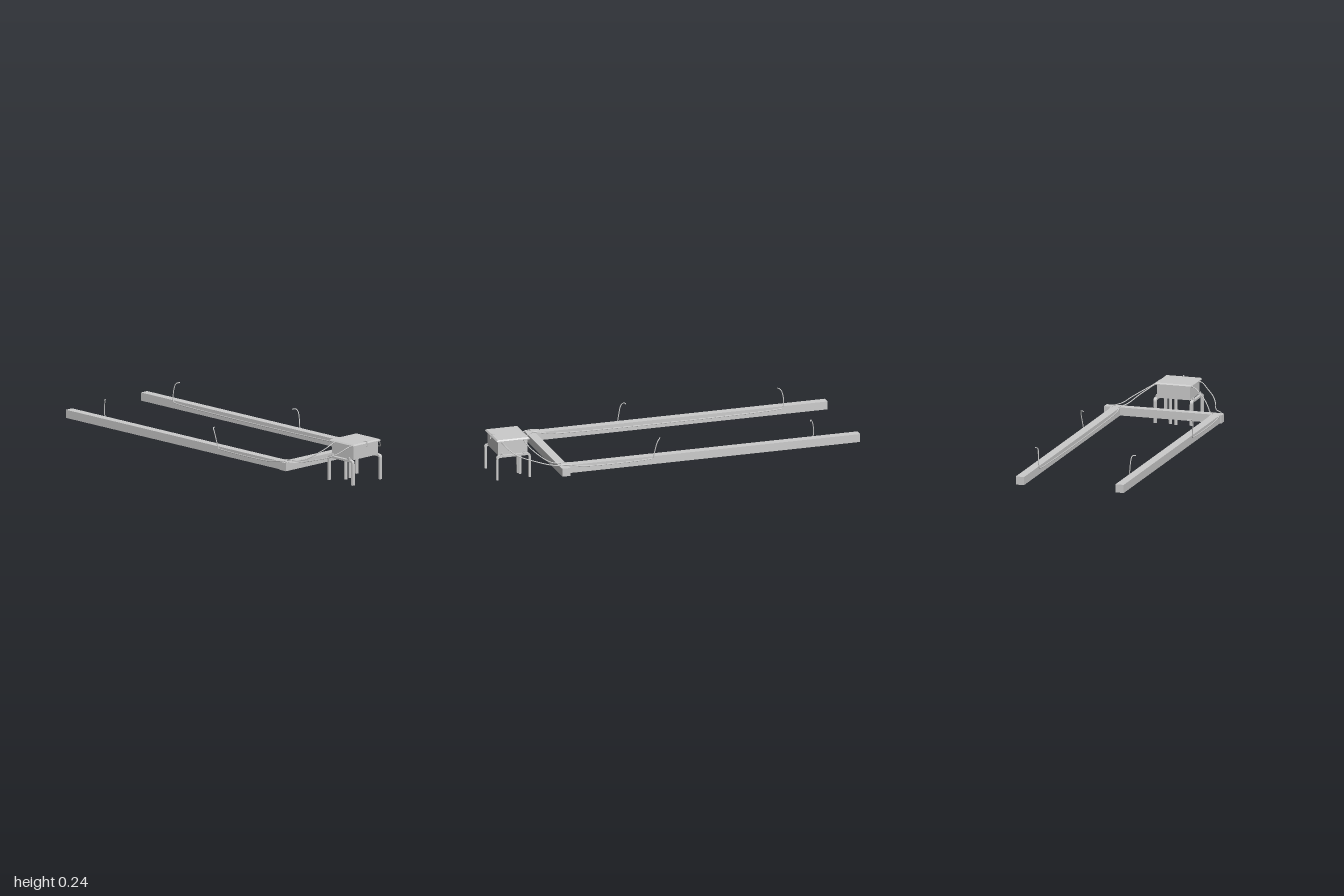
import * as THREE from 'three';

const mat = new THREE.MeshStandardMaterial({ color: 0xcccccc, side: THREE.DoubleSide });

export function createModel() {
  const model = new THREE.Group();

  const add = (name, geo, x = 0, y = 0, z = 0, parent = model) => {
    const mesh = new THREE.Mesh(geo, mat);
    mesh.name = name;
    mesh.position.set(x, y, z);
    parent.add(mesh);
    return mesh;
  };
  const box = (name, [x0, x1], [y0, y1], [z0, z1], parent) =>
    add(name, new THREE.BoxGeometry(x1 - x0, y1 - y0, z1 - z0),
      (x0 + x1) / 2, (y0 + y1) / 2, (z0 + z1) / 2, parent);

  // Ground beams: one across, two long
  const beamX = { left: 0.2645, right: -0.3005 };
  box('crossBeam', [-0.333, 0.333], [0.075, 0.12], [0.655, 0.702]);
  for (const side of ['left', 'right'])
    box(side + 'LongBeam', [beamX[side] - 0.0235, beamX[side] + 0.0235], [0.075, 0.12], [-1, 0.655]);

  // Control box
  const control = new THREE.Group();
  control.name = 'controlBox';
  model.add(control);
  const cx = -0.008, cz = 0.902;
  box('boxBody', [-0.1, 0.086], [0.147, 0.226], [0.819, 0.985], control);

  // Lid with a rim and chamfered upper edge
  box('lidRim', [-0.11, 0.095], [0.222, 0.226], [0.808, 0.995], control);
  const lid = new THREE.BoxGeometry(0.205, 0.007, 0.187).toNonIndexed();
  const p = lid.attributes.position;
  for (let i = 0; i < p.count; i++)
    if (p.getY(i) > 0) p.setXYZ(i, p.getX(i) * 0.94, p.getY(i), p.getZ(i) * 0.94);
  lid.computeVertexNormals();
  add('lidTop', lid, cx + 0.0005, 0.2295, 0.9015, control);

  // Latch: hasp, staple, and padlock at the front
  box('latchPlate', [cx - 0.003, cx + 0.003], [0.215, 0.236], [0.993, 0.997], control);
  box('latchTab', [cx - 0.003, cx + 0.003], [0.232, 0.236], [0.972, 0.997], control);
  add('latchKnob', new THREE.SphereGeometry(0.0035, 10, 8), cx, 0.237, 0.99, control);
  add('latchRing', new THREE.TorusGeometry(0.005, 0.0016, 8, 16), cx, 0.215, 0.9975, control);

  // Bent strap legs: one arch along each side of the box
  const arch = new THREE.Shape();
  const z0 = 0.805, z1 = 0.998, top = 0.147, t = 0.011, r = 0.02;
  arch.moveTo(z0, 0.01);
  arch.lineTo(z0, top - r);
  arch.quadraticCurveTo(z0, top, z0 + r, top);
  arch.lineTo(z1 - r, top);
  arch.quadraticCurveTo(z1, top, z1, top - r);
  arch.lineTo(z1, 0.01);
  arch.lineTo(z1 - t, 0.01);
  arch.lineTo(z1 - t, top - r);
  arch.quadraticCurveTo(z1 - t, top - t, z1 - r, top - t);
  arch.lineTo(z0 + r, top - t);
  arch.quadraticCurveTo(z0 + t, top - t, z0 + t, top - r);
  arch.lineTo(z0 + t, 0.01);
  arch.closePath();
  const legGeo = new THREE.ExtrudeGeometry(arch, { depth: 0.017, bevelEnabled: false, curveSegments: 6 })
    .rotateY(-Math.PI / 2);
  for (const x of [-0.112, 0.094]) {
    add('legArch', legGeo, x + 0.0085, 0, 0, control);
    for (const z of [0.838, 0.965]) {
      // Mounting tabs bolted to the straps
      const edge = x < 0 ? [x - 0.008, -0.098] : [0.084, x + 0.008];
      box('mountTab', edge, [0.147, 0.15], [z - 0.009, z + 0.009], control);
      add('boltHead', new THREE.CylinderGeometry(0.0065, 0.0065, 0.006, 6), x, 0.153, z, control);
      add('boltTip', new THREE.CylinderGeometry(0.0035, 0.0035, 0.006, 10), x, 0.158, z, control);
    }
  }

  // Two conduits below the box
  for (const [x, y] of [[-0.014, 0], [0.017, 0.005]]) {
    add('conduit', new THREE.CylinderGeometry(0.009, 0.009, 0.148 - y, 20), x, (0.148 + y) / 2, 0.838, control);
    add('conduitCollar', new THREE.CylinderGeometry(0.011, 0.011, 0.004, 20), x, 0.146, 0.838, control);
  }

  // Cables: from the box, over the cross beam, along a long beam, up to a hooked end
  const cable = (name, points) => {
    const curve = new THREE.CatmullRomCurve3(points.map(q => new THREE.Vector3(...q)), false, 'centripetal');
    add(name, new THREE.TubeGeometry(curve, 160, 0.0028, 8));
  };
  for (const [side, s] of [['left', 1], ['right', -1]]) {
    const bx = beamX[side];
    const wall = s > 0 ? 0.086 : -0.1;
    const at = d => bx + s * d;
    const from = d => wall + s * d;

    for (const z of [0.838, 0.965])
      add(side + 'CableGland', new THREE.CylinderGeometry(0.0045, 0.0045, 0.014, 12).rotateZ(Math.PI / 2),
        from(0.006), 0.217, z, control);

    // Outer cable, short run
    cable(side + 'OuterCable', [
      [from(0), 0.217, 0.965], [from(0.022), 0.214, 0.962], [from(0.06), 0.188, 0.938],
      [from(0.105), 0.162, 0.895], [from(0.145), 0.14, 0.82], [from(0.17), 0.124, 0.755],
      [at(0.012), 0.121, 0.71], [at(0.021), 0.124, 0.67], [at(0.026), 0.117, 0.62],
      [at(0.026), 0.107, 0.56], [at(0.026), 0.107, 0.2], [at(0.026), 0.111, 0.176],
      [at(0.029), 0.14, 0.168], [at(0.034), 0.195, 0.155], [at(0.032), 0.213, 0.145],
      [at(0.026), 0.2175, 0.137], [at(0.011), 0.217, 0.131]
    ]);
    // Inner cable, long run
    cable(side + 'InnerCable', [
      [from(0), 0.217, 0.838], [from(0.022), 0.212, 0.838], [from(0.055), 0.189, 0.822],
      [from(0.095), 0.16, 0.79], [from(0.13), 0.13, 0.745], [from(0.148), 0.121, 0.71],
      [at(-0.018), 0.124, 0.665], [at(-0.026), 0.117, 0.62],
      [at(-0.026), 0.107, 0.56], [at(-0.026), 0.107, -0.725], [at(-0.026), 0.112, -0.745],
      [at(-0.024), 0.14, -0.752], [at(-0.02), 0.195, -0.745], [at(-0.017), 0.213, -0.737],
      [at(-0.012), 0.2175, -0.731], [at(0.003), 0.217, -0.726]
    ]);
  }
  return model;
}
